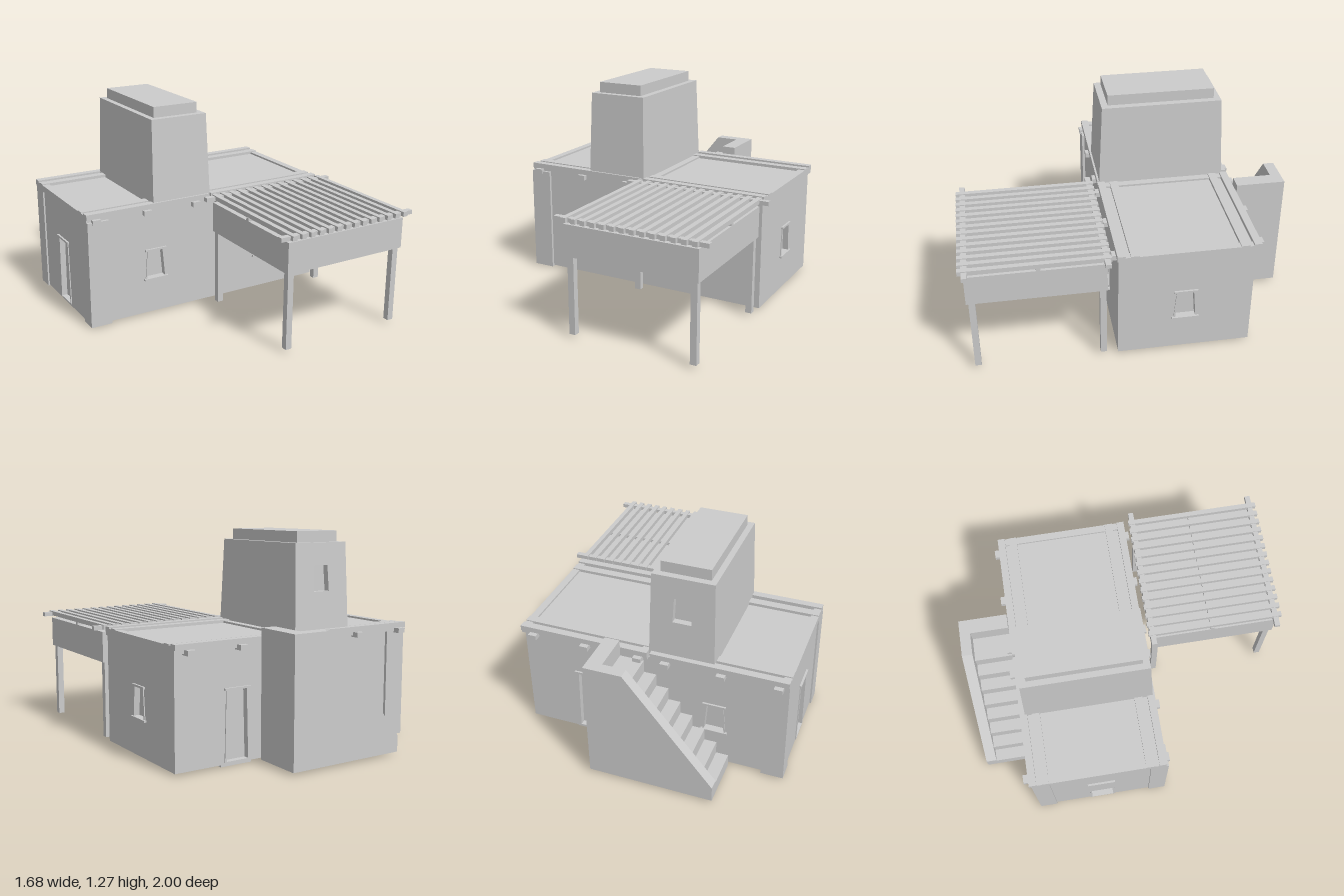
import * as THREE from 'three';

const material = new THREE.MeshStandardMaterial({ color: 0xcccccc, flatShading: true });

function add(parent, name, geometry) {
  const mesh = new THREE.Mesh(geometry, material);
  mesh.name = name;
  parent.add(mesh);
  return mesh;
}

// Box given by its limits on each axis
function box(parent, name, x0, x1, y0, y1, z0, z1) {
  const mesh = add(parent, name, new THREE.BoxGeometry(x1 - x0, y1 - y0, z1 - z0));
  mesh.position.set((x0 + x1) / 2, (y0 + y1) / 2, (z0 + z1) / 2);
  return mesh;
}

const polygon = (points, Type = THREE.Shape) => new Type(points.map(p => new THREE.Vector2(...p)));

function extrude(parent, name, shape, z0, z1) {
  const mesh = add(parent, name, new THREE.ExtrudeGeometry(shape, { depth: z1 - z0, bevelEnabled: false }));
  mesh.position.z = z0;
  return mesh;
}

// Trapezoid that narrows upward
const trapezoid = (x, y0, y1, bottom, top) =>
  [[x - bottom / 2, y0], [x + bottom / 2, y0], [x + top / 2, y1], [x - top / 2, y1]];

const BASE = 0.015, TOP = 0.665;
const WINDOW = { y0: 0.24, y1: 0.415, bottom: 0.12, top: 0.09, trim: 0.02 };
const DOOR = { y0: 0.03, y1: 0.43, bottom: 0.14, top: 0.12, trim: 0.025 };

// Wall facing local +z with recessed, framed openings
function wall(parent, name, width, openings) {
  const group = new THREE.Group();
  group.name = name;
  const w = width / 2;
  const shape = polygon([[-w, BASE], [w, BASE], [w, TOP], [-w, TOP]]);
  for (const { x, type } of openings) {
    const { y0, y1, bottom, top, trim } = type;
    const outline = trapezoid(x, y0, y1, bottom, top);
    shape.holes.push(polygon(outline, THREE.Path));
    const ring = polygon(trapezoid(x, y0 - 0.005, y1 + 0.01, bottom + trim, top + trim));
    ring.holes.push(polygon(outline, THREE.Path));
    extrude(group, 'openingFrame', ring, 0, 0.006);
    const half = bottom / 2 + trim;
    box(group, 'recessPanel', x - half + 0.01, x + half - 0.01, y0 - 0.01, y1 + 0.01, -0.05, -0.03);
    box(group, 'lintel', x - half + 0.01, x + half - 0.01, y1, y1 + 0.012, -0.01, 0.012);
    if (type === DOOR) box(group, 'threshold', x - 0.1, x + 0.1, 0, 0.03, -0.065, -0.01);
    else box(group, 'sill', x - half, x + half, y0 - 0.012, y0, -0.01, 0.016);
  }
  extrude(group, 'wallPanel', shape, -0.03, 0);
  parent.add(group);
  return group;
}

function buildHouse(root) {
  const house = new THREE.Group();
  house.name = 'house';
  root.add(house);
  // Outer walls, open underneath; x runs from -0.83 to 0.775
  const cx = -0.0275, cz = -0.275;
  const front = wall(house, 'frontWall', 1.605, [{ x: -0.4 - cx, type: WINDOW }, { x: 0.38 - cx, type: WINDOW }]);
  front.position.set(cx, 0, 0.12);
  const back = wall(house, 'backWall', 1.605, [{ x: 0.41 + cx, type: WINDOW }, { x: -0.38 + cx, type: DOOR }]);
  back.position.set(cx, 0, -0.67);
  back.rotation.y = Math.PI;
  const right = wall(house, 'windowSideWall', 0.79, [{ x: 0, type: WINDOW }]);
  right.position.set(0.775, 0, cz);
  right.rotation.y = Math.PI / 2;
  const left = wall(house, 'doorSideWall', 0.79, [{ x: 0, type: DOOR }]);
  left.position.set(-0.83, 0, cz);
  left.rotation.y = -Math.PI / 2;
  box(house, 'partition', -0.035, -0.015, BASE, TOP, -0.65, 0.1);

  // Corner buttresses at the door end
  box(house, 'cornerButtress', -0.84, -0.705, 0.008, TOP, 0.03, 0.137);
  box(house, 'cornerButtress', -0.84, -0.705, 0.008, TOP, -0.687, -0.58);

  // Roofs of the two halves
  for (const [x0, x1, beams] of [[-0.84, -0.03, [-0.785, -0.455, -0.125]], [-0.012, 0.785, [0.04, 0.37, 0.7]]]) {
    box(house, 'roofSlab', x0, x1, 0.66, 0.69, -0.69, 0.12);
    box(house, 'roofEdgeFront', x0, x1, 0.68, 0.712, 0.08, 0.125);
    box(house, 'roofEdgeBack', x0, x1, 0.68, 0.712, -0.7, -0.655);
    box(house, 'roofRailFront', x0, x1, 0.68, 0.708, 0.0, 0.05);
    box(house, 'roofRailBack', x0, x1, 0.68, 0.708, -0.63, -0.58);
    box(house, 'roofSideStrip', x0, x0 + 0.045, 0.68, 0.702, -0.66, 0.09);
    box(house, 'roofSideStrip', x1 - 0.045, x1, 0.68, 0.702, -0.66, 0.09);
    for (const x of beams) box(house, 'roofBeam', x - 0.025, x + 0.025, 0.65, 0.68, -0.73, 0.147);
  }
}

function buildTower(root) {
  const tower = new THREE.Group();
  tower.name = 'tower';
  root.add(tower);
  const y0 = 0.68, y1 = 1.21;
  // Extruded profile whose depth tapers with height
  const section = (name, t0, t1, hole) => {
    const shape = polygon([[-0.405, y0], [-0.015, y0], [-0.03, y1], [-0.395, y1]]);
    if (hole) shape.holes.push(polygon(hole, THREE.Path));
    const geometry = new THREE.ExtrudeGeometry(shape, { depth: 1, bevelEnabled: false });
    const p = geometry.attributes.position;
    for (let i = 0; i < p.count; i++) {
      const inset = 0.025 * (p.getY(i) - y0) / (y1 - y0);
      const t = t0 + (t1 - t0) * p.getZ(i);
      p.setZ(i, THREE.MathUtils.lerp(-0.67 + inset, 0.115 - inset, t));
    }
    geometry.computeVertexNormals();
    add(tower, name, geometry);
  };
  section('towerBody', 0.05, 1);
  section('towerBackWall', 0, 0.05, trapezoid(-0.21, 0.93, 1.08, 0.11, 0.095));
  box(tower, 'towerCap', -0.36, -0.07, y1, 1.275, -0.605, 0.05);
}

function buildStairs(root) {
  const stairs = new THREE.Group();
  stairs.name = 'stairs';
  root.add(stairs);
  // Solid flight climbing toward +x, ending in a landing
  const profile = [[0.2, BASE], [0.2, 0.655]];
  for (let i = 7; i >= 0; i--) {
    const x = -0.51 + i * 0.0735;
    profile.push([x, BASE + (i + 1) * 0.08], [x, BASE + i * 0.08]);
  }
  profile.pop();
  profile.push([-0.51, BASE]);
  extrude(stairs, 'flight', polygon(profile.reverse()), -0.95, -0.7);
  // Sloping parapet on the outside and wall at the landing end
  extrude(stairs, 'parapet',
    polygon([[-0.51, BASE], [0.24, BASE], [0.24, 0.76], [0.01, 0.76], [-0.51, 0.11]]), -1, -0.935);
  box(stairs, 'landingWall', 0.15, 0.24, BASE, 0.76, -0.94, -0.7);
}

function buildPergola(root) {
  const pergola = new THREE.Group();
  pergola.name = 'pergola';
  root.add(pergola);
  const x0 = -0.03, x1 = 0.78, z0 = 0.18, z1 = 0.97, t = 0.012;
  // Hollow skirt with a ceiling, open below
  box(pergola, 'skirtFront', x0, x1, 0.485, 0.67, z1 - t, z1);
  box(pergola, 'skirtBack', x0, x1, 0.485, 0.67, z0, z0 + t);
  box(pergola, 'skirtSide', x0, x0 + t, 0.485, 0.67, z0, z1);
  box(pergola, 'skirtSide', x1 - t, x1, 0.485, 0.67, z0, z1);
  box(pergola, 'ceiling', x0, x1, 0.658, 0.67, z0, z1);
  for (const x of [-0.018, 0.73])
    for (const z of [0.185, 0.92])
      box(pergola, 'post', x, x + 0.038, 0.02, 0.66, z, z + 0.037);
  for (const z of [0.165, 0.945]) box(pergola, 'crossBeam', -0.085, 0.84, 0.685, 0.71, z, z + 0.033);
  box(pergola, 'middleBeam', x0, x1, 0.665, 0.69, 0.55, 0.575);
  for (let i = 0; i < 14; i++) {
    const x = -0.01 + i * 0.06;
    box(pergola, 'slat', x - 0.015, x + 0.015, 0.688, 0.716, 0.155, 1);
  }
}

export function createModel() {
  const root = new THREE.Group();
  root.name = 'adobeHouse';
  buildHouse(root);
  buildTower(root);
  buildStairs(root);
  buildPergola(root);
  return root;
}
